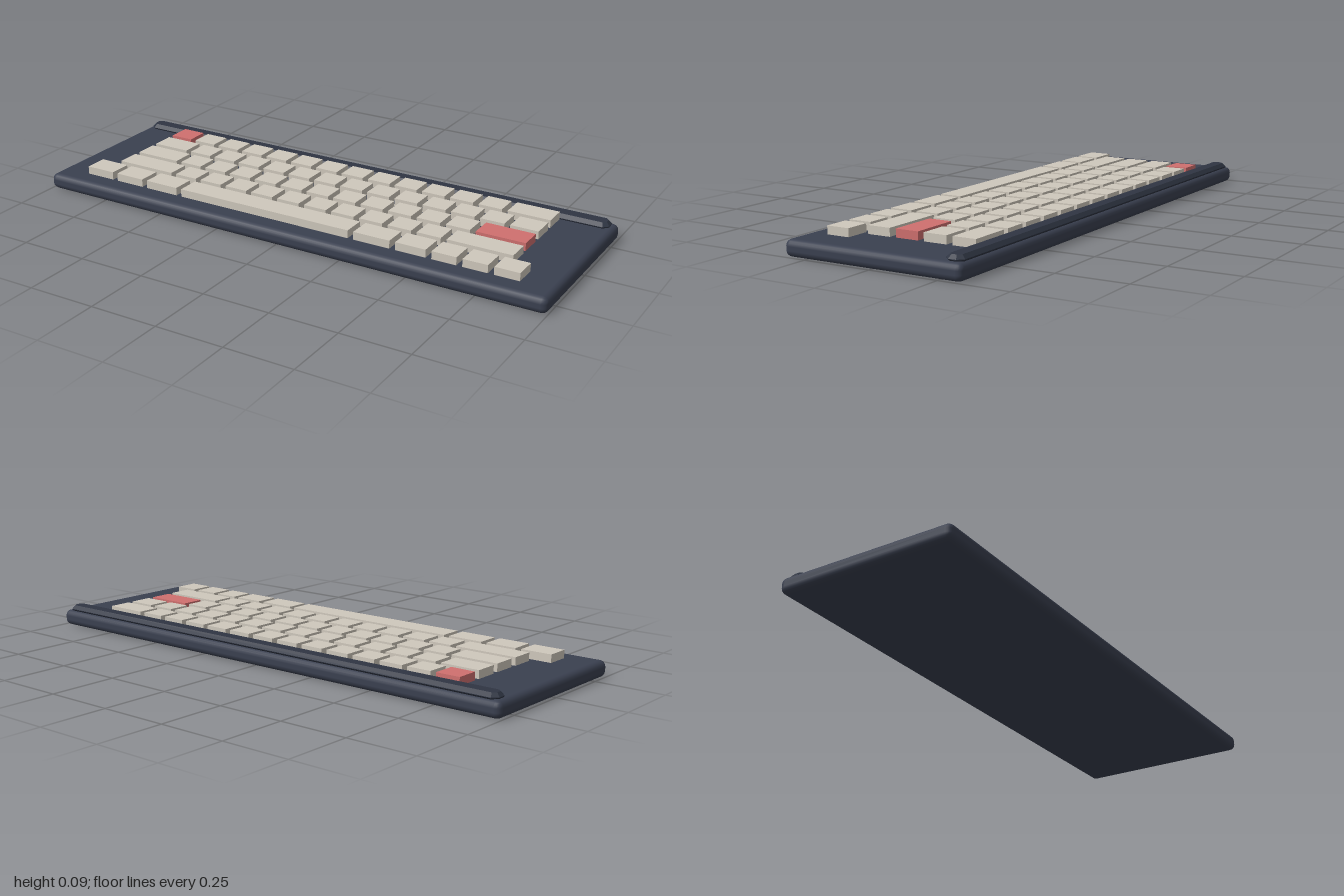
import * as THREE from 'three';
import { RoundedBoxGeometry } from 'three/addons/geometries/RoundedBoxGeometry.js';

const GAP = 0.0215;     // space between neighbouring keys
const ROW_PITCH = 0.1073;
const KEY_DEPTH = 0.085;
const KEY_HEIGHT = 0.032;
const CASE_TOP = 0.058;

// n ordinary single-width keys
const singles = (n) => Array(n).fill(0.09);

// Key widths for each row, back to front
const ROWS = [
  [...singles(13), 0.16],
  [0.147, ...singles(12), 0.104],
  [0.179, ...singles(11), 0.182],
  [0.236, ...singles(10), 0.24],
  [0.116, 0.116, 0.134, 0.695, 0.138, 0.113, ...singles(3)],
];
const ACCENTS = ['0-0', '2-12']; // row-key indices of the red keys

function makeMaterial(name, color) {
  const material = new THREE.MeshStandardMaterial({ color });
  material.name = name;
  return material;
}

// Rear strip: a long bar with chamfered rims and cut corners
function makeRearStrip(material) {
  const w = 0.968, d = 0.021, c = 0.012;
  const shape = new THREE.Shape([
    [-w, -d + c], [-w + c, -d], [w - c, -d], [w, -d + c],
    [w, d - c], [w - c, d], [-w + c, d], [-w, d - c],
  ].map(([x, y]) => new THREE.Vector2(x, y)));
  const geometry = new THREE.ExtrudeGeometry(shape, {
    depth: 0.002, bevelEnabled: true, bevelThickness: 0.013, bevelSize: 0.012, bevelSegments: 1,
  });
  geometry.rotateX(-Math.PI / 2);
  const strip = new THREE.Mesh(geometry, material);
  strip.name = 'rearStrip';
  strip.position.set(0, 0.062, -0.289);
  return strip;
}

export function createModel() {
  const model = new THREE.Group();
  model.name = 'keyboard';
  const caseMaterial = makeMaterial('slate case', 0x3a4050);
  const stripMaterial = makeMaterial('dark slate strip', 0x2f3543);
  const keyMaterial = makeMaterial('warm grey keys', 0xcfc8bc);
  const accentMaterial = makeMaterial('red keys', 0xd0706f);

  // Case with rounded rims
  const body = new THREE.Mesh(new RoundedBoxGeometry(2, CASE_TOP, 0.666, 2, 0.022), caseMaterial);
  body.name = 'case';
  body.position.y = CASE_TOP / 2;
  model.add(body, makeRearStrip(stripMaterial));

  // Keys, each row centred on the case
  const keys = new THREE.Group();
  keys.name = 'keys';
  ROWS.forEach((widths, row) => {
    const rowWidth = widths.reduce((sum, w) => sum + w, 0) + GAP * (widths.length - 1);
    let x = -rowWidth / 2;
    widths.forEach((width, i) => {
      const accent = ACCENTS.includes(`${row}-${i}`);
      const key = new THREE.Mesh(
        new THREE.BoxGeometry(width, KEY_HEIGHT, KEY_DEPTH),
        accent ? accentMaterial : keyMaterial,
      );
      key.name = accent ? 'accentKey' : 'key';
      key.position.set(x + width / 2, 0.087 - KEY_HEIGHT / 2, (row - 2) * ROW_PITCH);
      keys.add(key);
      x += width + GAP;
    });
  });
  model.add(keys);
  return model;
}
